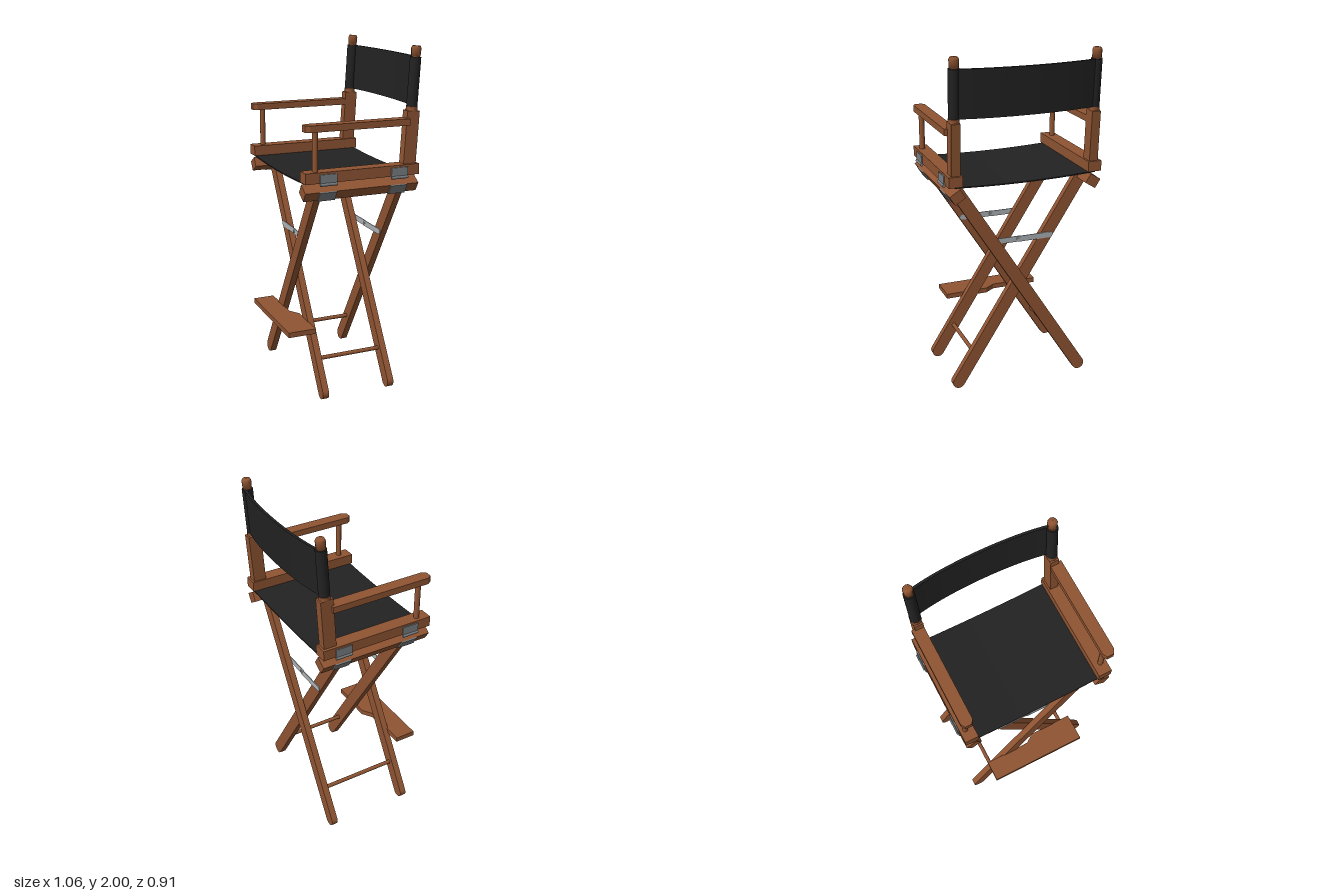
import * as THREE from 'three';

const WOOD = new THREE.MeshStandardMaterial({ color: 0x8f5432 });
WOOD.name = 'wood';
const CANVAS = new THREE.MeshStandardMaterial({ color: 0x222223 });
CANVAS.name = 'blackCanvas';
const SILVER = new THREE.MeshStandardMaterial({ color: 0xadb2b5 });
SILVER.name = 'silverBrace';
const HINGE = new THREE.MeshStandardMaterial({ color: 0x7b7f82 });
HINGE.name = 'greyHinge';

const SPLAY = Math.atan2(0.76, 1.2); // tilt of the crossed legs
const LEAN = -0.0625;                // backward lean of the back posts

function add(parent, name, geometry, material, x = 0, y = 0, z = 0) {
  const mesh = new THREE.Mesh(geometry, material);
  mesh.name = name;
  mesh.position.set(x, y, z);
  parent.add(mesh);
  return mesh;
}

function group(parent, name, x, y, z) {
  const g = new THREE.Group();
  g.name = name;
  g.position.set(x, y, z);
  parent.add(g);
  return g;
}

const box = (w, h, d) => new THREE.BoxGeometry(w, h, d);
const rod = (r, h, sides = 14) => new THREE.CylinderGeometry(r, r, h, sides);
const extrude = (shape, depth) =>
  new THREE.ExtrudeGeometry(shape, { depth, bevelEnabled: false, curveSegments: 16 });

// Plan outline given as [x, z] points, extruded upwards
function plank(points, height) {
  const shape = new THREE.Shape(points.map(([x, z]) => new THREE.Vector2(x, -z)));
  return extrude(shape, height).rotateX(-Math.PI / 2);
}

// Bar with round ends, standing on its lower arc centre, centred in depth
function roundBar(length, r, depth) {
  const s = new THREE.Shape();
  s.moveTo(r, 0);
  s.lineTo(r, length);
  s.absarc(0, length, r, 0, Math.PI, false);
  s.lineTo(-r, 0);
  s.absarc(0, 0, r, Math.PI, Math.PI * 2, false);
  return extrude(s, depth).translate(0, 0, -depth / 2);
}

function addLegs(chair) {
  const length = Math.hypot(0.76, 1.2);
  for (const foot of [-1, 1]) {
    const z = foot < 0 ? 0.25 : 0.207;
    for (const end of [-1, 1]) {
      const leg = add(chair, end > 0 ? 'frontLeg' : 'backLeg',
        roundBar(length, 0.037, 0.038), WOOD, foot * 0.38, 0.0375, end * z);
      leg.rotation.z = foot * SPLAY;
    }
    // Stretcher joining the front and back leg
    add(chair, 'stretcher', rod(0.012, z * 2).rotateX(Math.PI / 2), WOOD, foot * 0.275, 0.205, 0);
  }
  // Folding metal braces, two links and a rivet each
  for (const end of [-1, 1]) {
    const brace = group(chair, 'foldingBrace', 0, 0.905, end * 0.2285);
    for (const side of [-1, 1]) {
      const link = add(brace, 'braceLink', roundBar(0.19, 0.017, 0.005), SILVER, 0, 0, side * 0.002);
      link.rotation.z = -side * Math.PI / 2;
    }
    add(brace, 'braceRivet', rod(0.008, 0.014).rotateX(Math.PI / 2), SILVER);
  }
  // Footrest stepped to fit against the two crossing legs
  add(chair, 'footrest', plank([
    [-0.304, 0.388], [0.304, 0.388], [0.304, 0.222], [0.04, 0.222], [-0.02, 0.262], [-0.304, 0.262],
  ], 0.03), WOOD, 0, 0.375, 0);
}

function addSide(chair, side) {
  // Upper rail and the tilted lower rail under it
  add(chair, 'upperRail', box(0.08, 0.06, 0.68), WOOD, side * 0.414, 1.327, 0);
  const lower = group(chair, 'lowerRailGroup', side * 0.405, 1.241, 0);
  lower.rotation.z = -side * SPLAY;
  add(lower, 'lowerRail', box(0.072, 0.06, 0.68), WOOD);

  // Hinges fold over the outside of both rails
  for (const z of [-0.217, 0.207]) {
    add(chair, 'hingeUpperLeaf', box(0.007, 0.055, 0.1), HINGE, side * 0.4575, 1.318, z);
    add(lower, 'hingeLowerLeaf', box(0.007, 0.062, 0.1), HINGE, side * 0.0395, 0, z);
    add(chair, 'hingeKnuckle', rod(0.009, 0.1).rotateX(Math.PI / 2), HINGE, side * 0.459, 1.29, z);
  }

  // Armrest with clipped front corners, carried by a dowel
  add(chair, 'armrest', plank([
    [-0.035, -0.28], [-0.035, 0.31], [-0.02, 0.335], [0.02, 0.335], [0.035, 0.31], [0.035, -0.28],
  ], 0.037), WOOD, side * 0.42, 1.574, 0);
  add(chair, 'armDowel', rod(0.016, 0.23), WOOD, side * 0.42, 1.465, 0.27);
}

function addBack(chair) {
  const back = group(chair, 'back', 0, 1.3, -0.286);
  back.rotation.x = LEAN;
  for (const side of [-1, 1]) {
    const x = side * 0.41;
    add(back, 'backPost', box(0.052, 0.35, 0.076), WOOD, x, 0.175, 0);
    const cap = new THREE.CylinderGeometry(0.028, 0.037, 0.022, 4, 1).rotateY(Math.PI / 4);
    add(back, 'postShoulder', cap, WOOD, x, 0.361, 0);
    add(back, 'postCollar', rod(0.032, 0.02, 10), WOOD, x, 0.362, 0);
    add(back, 'postPeg', rod(0.022, 0.34), WOOD, x, 0.52, 0);
    const knob = new THREE.LatheGeometry([
      [0, 0], [0.026, 0], [0.028, 0.045], [0.022, 0.058], [0, 0.058],
    ].map(([r, y]) => new THREE.Vector2(r, y)), 10);
    add(back, 'postKnob', knob, WOOD, x, 0.643, 0);
    add(back, 'canvasSleeve', rod(0.031, 0.268, 18), CANVAS, x, 0.507, 0);
  }
  // Canvas bowed backwards between the sleeves
  const s = new THREE.Shape();
  s.moveTo(-0.41, 0.02);
  s.bezierCurveTo(-0.2, 0.07, 0.2, 0.07, 0.41, 0.02);
  s.lineTo(0.41, 0.005);
  s.bezierCurveTo(0.2, 0.055, -0.2, 0.055, -0.41, 0.005);
  add(back, 'backCanvas', extrude(s, 0.268).rotateX(-Math.PI / 2), CANVAS, 0, 0.373, 0);
}

function addSeat(chair) {
  // Slightly sagging canvas held between the rails
  const s = new THREE.Shape();
  s.moveTo(-0.42, 1.297);
  s.quadraticCurveTo(0, 1.272, 0.42, 1.297);
  s.lineTo(0.42, 1.29);
  s.quadraticCurveTo(0, 1.265, -0.42, 1.29);
  add(chair, 'seatCanvas', extrude(s, 0.66).translate(0, 0, -0.33), CANVAS);
}

export function createModel() {
  const model = new THREE.Group();
  model.name = 'foldingChair';
  const chair = group(model, 'chair', 0, 0, 0);
  chair.rotation.y = -0.273;
  addLegs(chair);
  addSide(chair, -1);
  addSide(chair, 1);
  addBack(chair);
  addSeat(chair);
  return model;
}
